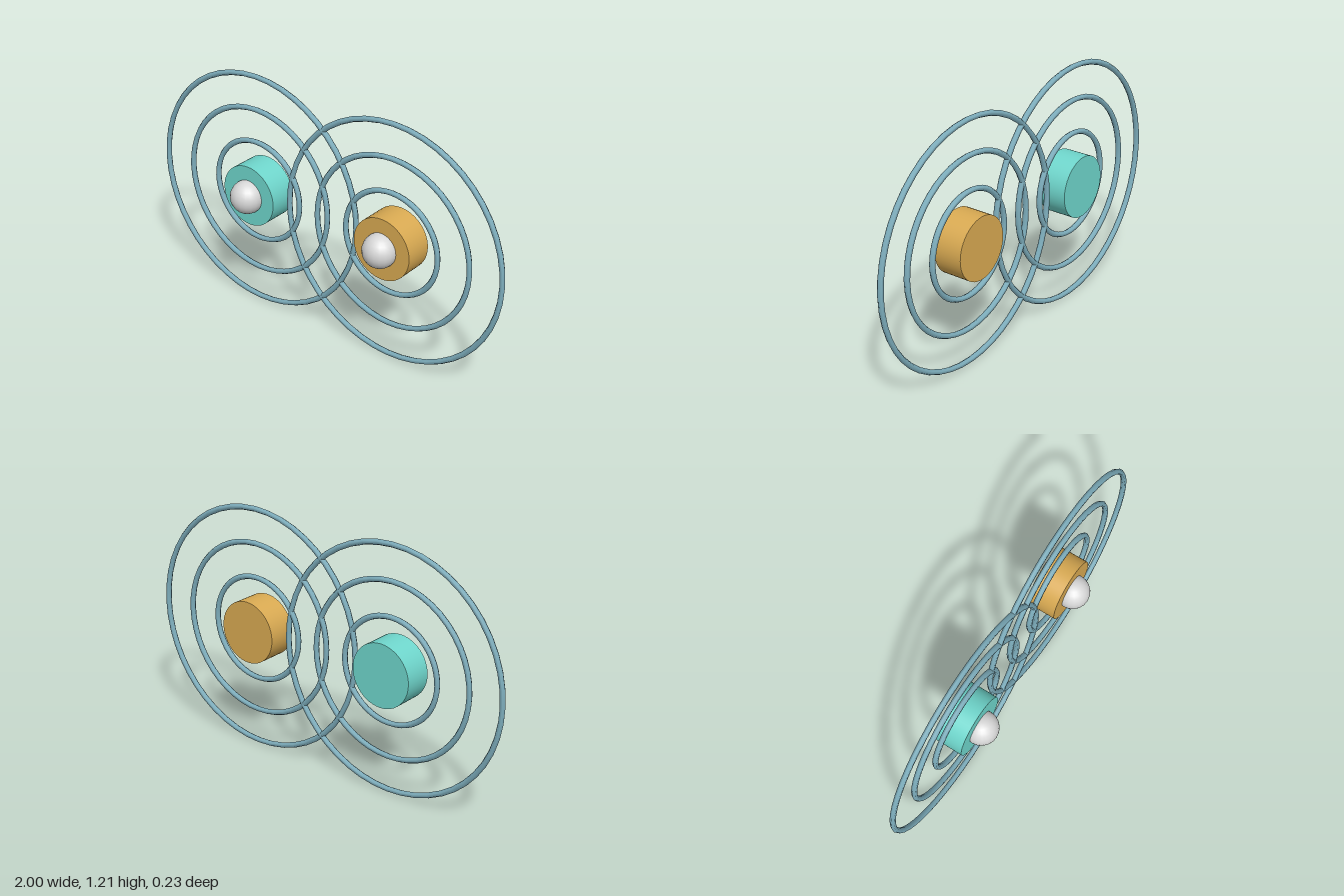
import * as THREE from 'three';

const material = (name, color) => {
  const m = new THREE.MeshStandardMaterial({ color });
  m.name = name;
  return m;
};

export function createModel() {
  const model = new THREE.Group();
  model.name = 'twinRippleRings';

  const teal = material('teal', 0x6fd6cc);
  const gold = material('gold', 0xd9aa52);
  const steel = material('steelBlue', 0x7fb0bf);
  const grey = material('lightGrey', 0xd8d8d8);

  const add = (parent, name, geometry, mat, z) => {
    const mesh = new THREE.Mesh(geometry, mat);
    mesh.name = name;
    mesh.position.z = z;
    parent.add(mesh);
  };

  // Shared shapes
  const disc = new THREE.CylinderGeometry(0.154, 0.154, 0.142, 48).rotateX(Math.PI / 2);
  const ball = new THREE.SphereGeometry(0.083, 20, 14);
  const rings = [0.256, 0.424, 0.592].map(r => new THREE.TorusGeometry(r, 0.0138, 6, 48));

  // One emitter: drum, ball on its front and three concentric rings
  const addEmitter = (name, x, discMaterial) => {
    const emitter = new THREE.Group();
    emitter.name = name;
    emitter.position.set(x, 0.606, 0);
    add(emitter, 'drum', disc, discMaterial, -0.046);
    add(emitter, 'ball', ball, grey, 0.034);
    const ringNames = ['innerRing', 'middleRing', 'outerRing'];
    rings.forEach((g, i) => add(emitter, ringNames[i], g, steel, -0.046));
    model.add(emitter);
  };

  addEmitter('rightEmitter', -0.394, teal);
  addEmitter('leftEmitter', 0.394, gold);
  return model;
}
